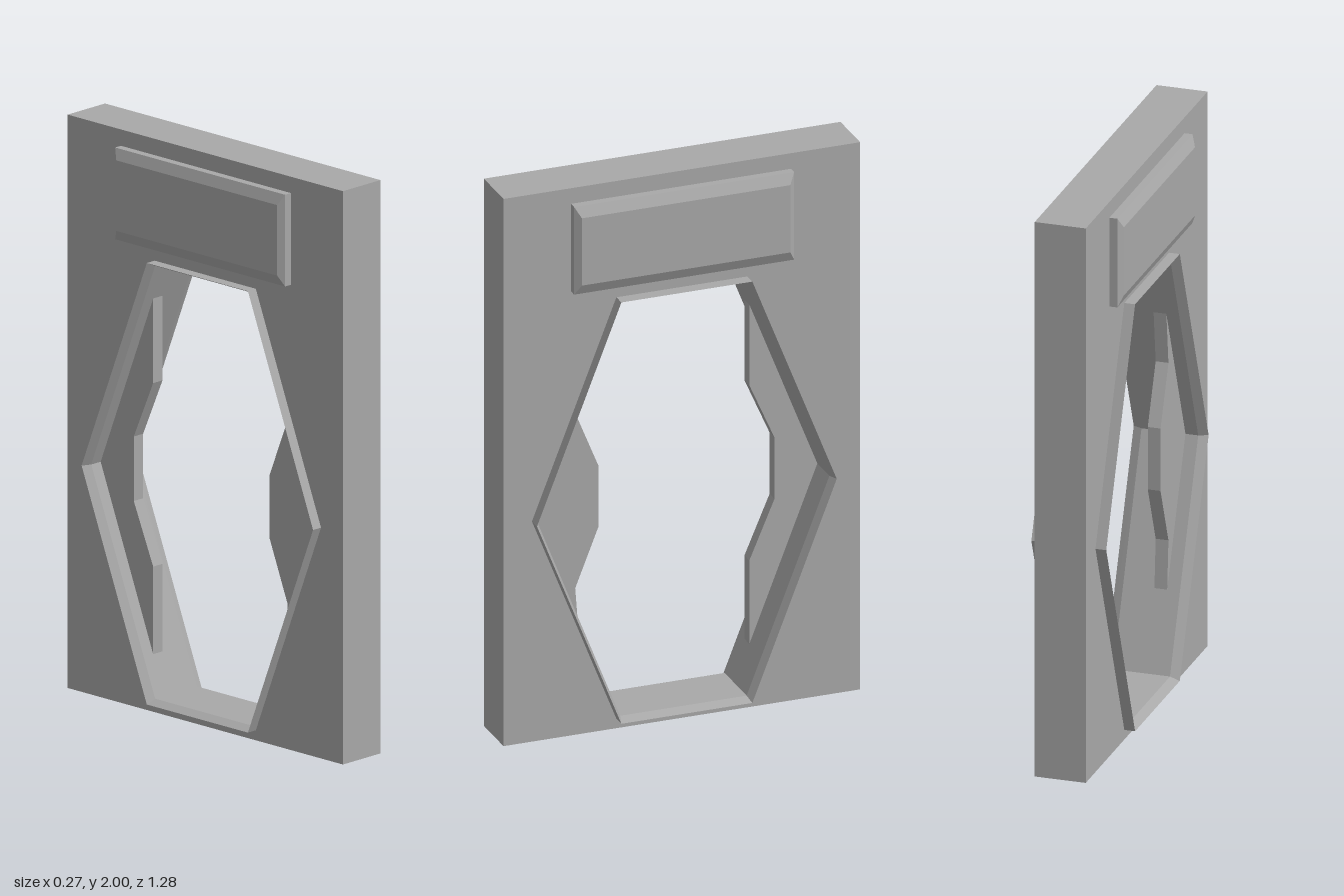
import * as THREE from 'three';

const MID_Y = 0.805;
// Hexagon corners as [z, y], running along the bottom towards -z first
const hexagon = (zFlat, zTip, h) => [
  [zFlat, -h], [-zFlat, -h], [-zTip, 0], [-zFlat, h], [zFlat, h], [zTip, 0],
].map(([z, y]) => [z, y + MID_Y]);

const OUTER = hexagon(0.235, 0.538, 0.77);
const INNER = hexagon(0.227, 0.524, 0.755);

// Shape drawn in [z, y], extruded along x from x0 to x1
function extrudeX(points, x0, x1, hole) {
  const toVec = ([z, y]) => new THREE.Vector2(-z, y);
  const shape = new THREE.Shape(points.map(toVec));
  if (hole) shape.holes.push(new THREE.Path(hole.map(toVec)));
  const geo = new THREE.ExtrudeGeometry(shape, { depth: x1 - x0, bevelEnabled: false });
  return geo.rotateY(Math.PI / 2).translate(x0, 0, 0);
}

// Thin ring with a sloped lip on both faces
function frameGeometry() {
  const section = [[-0.132, OUTER], [-0.1, INNER], [0.1, INNER], [0.132, OUTER]];
  const pos = [];
  const corner = (s, i) => {
    const [x, hex] = section[s % 4];
    const [z, y] = hex[i % 6];
    return [x, y, z];
  };
  for (let i = 0; i < 6; i++) {
    for (let s = 0; s < 4; s++) {
      const a = corner(s, i), b = corner(s + 1, i), c = corner(s + 1, i + 1), d = corner(s, i + 1);
      pos.push(...a, ...b, ...c, ...a, ...c, ...d);
    }
  }
  const geo = new THREE.BufferGeometry();
  geo.setAttribute('position', new THREE.Float32BufferAttribute(pos, 3));
  geo.computeVertexNormals();
  return geo;
}

// Raised plaque whose outer face (side = +1 or -1) is bevelled
function plaqueGeometry(side, root, shoulder, face) {
  const box = new THREE.BoxGeometry(2, 0.32, 0.79, 2, 1, 1);
  const p = box.attributes.position;
  for (let i = 0; i < p.count; i++) {
    const step = Math.round(p.getX(i) * side);
    if (step === 1) {
      p.setY(i, p.getY(i) - Math.sign(p.getY(i)) * 0.037);
      p.setZ(i, p.getZ(i) - Math.sign(p.getZ(i)) * 0.021);
    }
    p.setX(i, side * [root, shoulder, face][step + 1]);
  }
  const geo = box.toNonIndexed();
  geo.computeVertexNormals();
  return geo.translate(0, 1.783, 0.003);
}

export function createModel() {
  const model = new THREE.Group();
  model.name = 'hexagonalDoorway';
  const grey = new THREE.MeshStandardMaterial({ color: 0xa8a8a8 });
  grey.name = 'plainGrey';
  const add = (name, geo) => {
    const mesh = new THREE.Mesh(geo, grey);
    mesh.name = name;
    model.add(mesh);
  };

  // Upright slab with the opening cut through
  add('wallSlab', extrudeX([[0.64, 0], [-0.64, 0], [-0.64, 2], [0.64, 2]], -0.094, 0.086, OUTER));
  add('openingFrame', frameGeometry());

  // Plaques above the opening
  add('leftPlaque', plaqueGeometry(1, 0.08, 0.115, 0.133));
  add('rightPlaque', plaqueGeometry(-1, 0.08, 0.122, 0.138));

  // Interlocking door leaves, mostly withdrawn into the wall
  add('frontDoorLeaf', extrudeX([
    [0.318, 1.36], [0.345, 1.13], [0.262, 0.925], [0.262, 0.7],
    [0.345, 0.49], [0.33, 0.29], [0.53, MID_Y],
  ], -0.055, -0.01));
  add('backDoorLeaf', extrudeX([
    [-0.28, 1.43], [-0.28, 1.13], [-0.37, 0.925], [-0.37, 0.7],
    [-0.28, 0.49], [-0.28, 0.18], [-0.53, MID_Y],
  ], -0.055, -0.01));

  return model;
}
